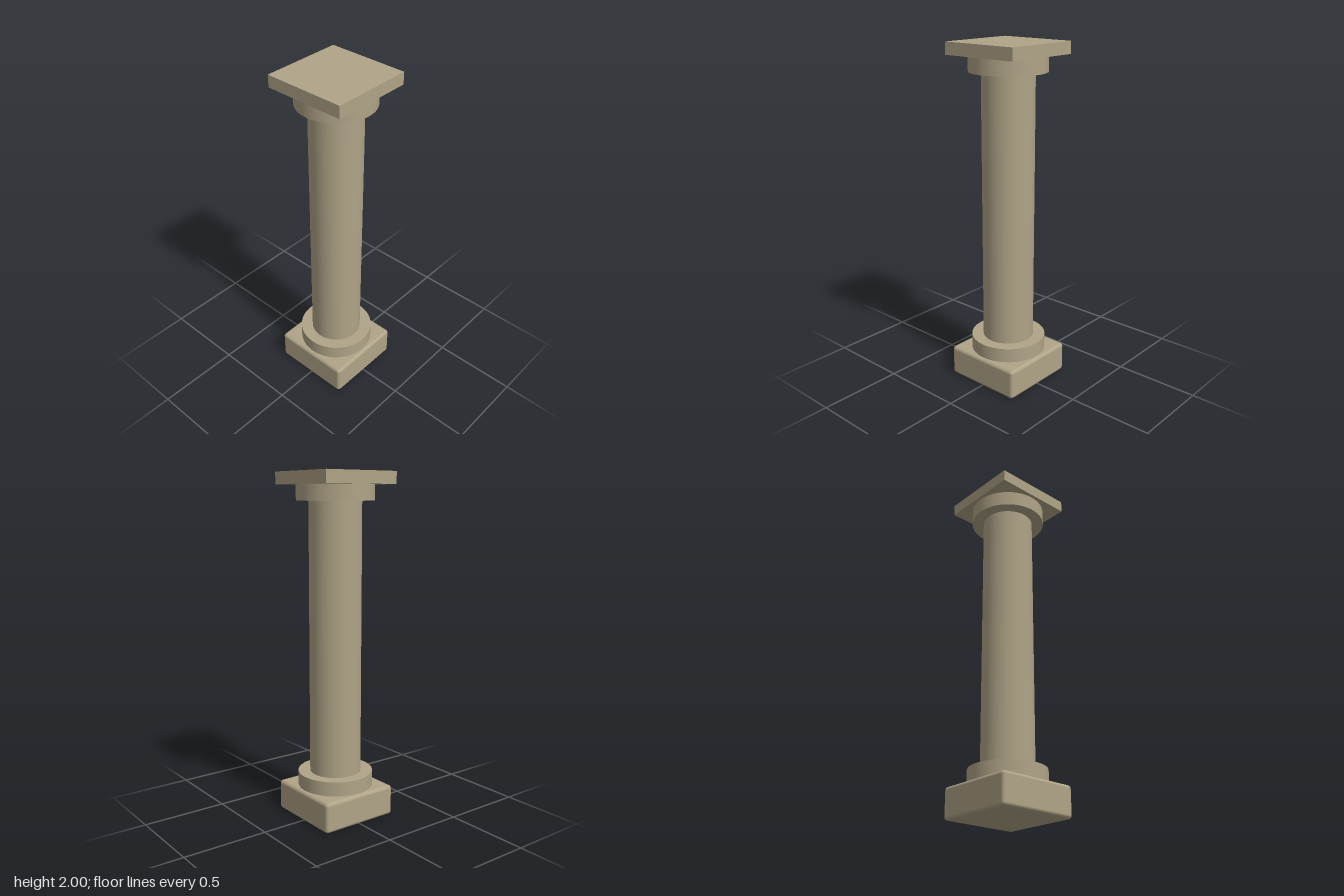
import * as THREE from 'three';
import { RoundedBoxGeometry } from 'three/addons/geometries/RoundedBoxGeometry.js';

export function createModel() {
  const group = new THREE.Group();
  const stone = new THREE.MeshStandardMaterial({ color: 0xb0a488 });
  stone.name = 'sandstone';

  // Adds a part spanning the heights y0 to y1
  const add = (name, geometry, y0, y1) => {
    const mesh = new THREE.Mesh(geometry, stone);
    mesh.name = name;
    mesh.position.y = (y0 + y1) / 2;
    group.add(mesh);
  };
  const drum = (name, radius, y0, y1) =>
    add(name, new THREE.CylinderGeometry(radius, radius, y1 - y0, 64), y0, y1);

  // Square plinth with softened edges
  add('plinth', new RoundedBoxGeometry(0.484, 0.18, 0.484, 4, 0.02), 0, 0.18);

  // Round base, shaft and capital
  drum('baseDrum', 0.22, 0.175, 0.265);
  drum('shaft', 0.15, 0.26, 1.845);
  drum('capitalDrum', 0.22, 1.84, 1.932);

  // Square slab on top
  add('topSlab', new THREE.BoxGeometry(0.48, 0.07, 0.48), 1.93, 2);

  return group;
}
